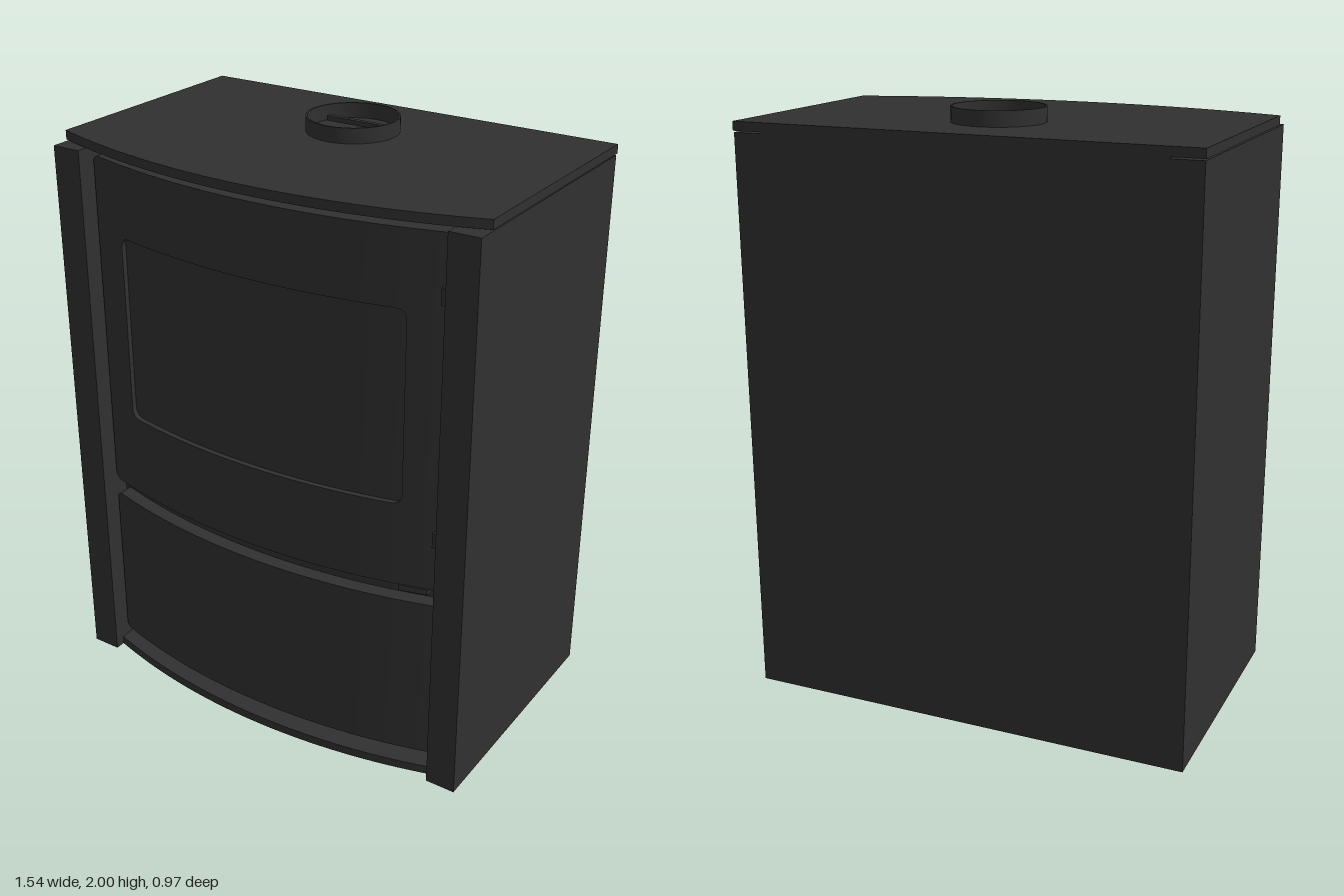
import * as THREE from 'three';
import { toCreasedNormals } from 'three/addons/utils/BufferGeometryUtils.js';

const CZ = -1.783; // shared centre of all the bowed fronts
const bow = (x, front) => CZ + Math.sqrt((front - CZ) ** 2 - x * x);

// Horizontal slab with a bowed front edge
function bowedSlab(halfW, back, front, y0, y1) {
  const s = new THREE.Shape();
  s.moveTo(-halfW, -back);
  for (let i = 0; i <= 40; i++) {
    const x = -halfW + (2 * halfW * i) / 40;
    s.lineTo(x, -bow(x, front));
  }
  s.lineTo(halfW, -back);
  const g = new THREE.ExtrudeGeometry(s, { depth: y1 - y0, bevelEnabled: false });
  g.rotateX(-Math.PI / 2).translate(0, y0, 0);
  return toCreasedNormals(g, 0.5);
}

// How far a rounded corner pulls the edge in at x
function inset(x, halfW, r) {
  const d = Math.max(0, Math.abs(x) - (halfW - r));
  return r - Math.sqrt(Math.max(0, r * r - d * d));
}

// Upright bowed panel made of columns between lo(x) and hi(x)
function bowedPanel(x0, x1, lo, hi, front, back, extra = []) {
  const xs = [...extra];
  const n = Math.max(4, Math.round((x1 - x0) / 0.04));
  for (let i = 0; i <= n; i++) xs.push(x0 + ((x1 - x0) * i) / n);
  xs.sort((a, b) => a - b);
  const pos = [];
  const quad = (a, b, c, d) => pos.push(...a, ...b, ...c, ...a, ...c, ...d);
  const ring = x => {
    const zf = bow(x, front), zb = bow(x, back);
    return [[x, lo(x), zf], [x, hi(x), zf], [x, hi(x), zb], [x, lo(x), zb]];
  };
  const rings = xs.map(ring);
  for (let i = 0; i < rings.length - 1; i++) {
    const a = rings[i], b = rings[i + 1];
    for (let k = 0; k < 4; k++) {
      const m = (k + 1) % 4;
      quad(a[k], b[k], b[m], a[m]);
    }
  }
  const f = rings[0], l = rings[rings.length - 1];
  quad(f[0], f[1], f[2], f[3]);
  quad(l[3], l[2], l[1], l[0]);
  const g = new THREE.BufferGeometry();
  g.setAttribute('position', new THREE.Float32BufferAttribute(pos, 3));
  return toCreasedNormals(g, 0.5);
}

// Extra column positions for rounded corners
const cornerXs = (halfW, r) =>
  [0.2, 0.5, 0.8, 0.95].map(t => halfW - r + r * t).flatMap(x => [x, -x]);

export function createModel() {
  const group = new THREE.Group();
  const steel = new THREE.MeshStandardMaterial({ color: 0x303030 });
  steel.name = 'dark painted steel';
  const add = (name, geo, parent = group) => {
    const m = new THREE.Mesh(geo, steel);
    m.name = name;
    parent.add(m);
    return m;
  };
  const box = (name, x0, x1, y0, y1, z0, z1) =>
    add(name, new THREE.BoxGeometry(x1 - x0, y1 - y0, z1 - z0))
      .position.set((x0 + x1) / 2, (y0 + y1) / 2, (z0 + z1) / 2);

  // Body, side walls and plates
  add('firebox', bowedSlab(0.665, -0.48, 0.4, 0.03, 1.92));
  add('basePlate', bowedSlab(0.665, -0.48, 0.475, 0, 0.03));
  add('topPlate', bowedSlab(0.77, -0.483, 0.483, 1.92, 1.95));
  box('leftSideWall', 0.665, 0.768, 0, 1.915, -0.48, 0.41);
  box('rightSideWall', -0.768, -0.665, 0, 1.915, -0.48, 0.41);

  // Door frame around the window
  const W = 0.657, R = 0.025, w = 0.53, r = 0.03;
  const F = 0.45, B = 0.395;
  const doorLo = x => 0.71 + inset(x, W, R);
  const doorHi = x => 1.89 - inset(x, W, R);
  const winLo = x => 1.0 + inset(x, w, r);
  const winHi = x => 1.645 - inset(x, w, r);
  const door = new THREE.Group();
  door.name = 'door';
  group.add(door);
  const cx = cornerXs(W, R), wx = cornerXs(w, r);
  add('doorLeftStile', bowedPanel(w, W, doorLo, doorHi, F, B, cx.filter(x => x > 0)), door);
  add('doorRightStile', bowedPanel(-W, -w, doorLo, doorHi, F, B, cx.filter(x => x < 0)), door);
  add('doorBottomRail', bowedPanel(-w, w, doorLo, winLo, F, B, wx), door);
  add('doorTopRail', bowedPanel(-w, w, winHi, doorHi, F, B, wx), door);
  add('windowPane', bowedPanel(-w, w, () => 1.0, () => 1.645, 0.432, 0.41), door);

  // Lower drawer front
  add('drawerFront', bowedPanel(-W, W,
    x => 0.07 + inset(x, W, R), x => 0.652 - inset(x, W, R), F, B, cx));

  // Hinges and handle
  for (const y of [0.897, 1.7]) box('hinge', 0.63, 0.651, y - 0.027, y + 0.027, 0.33, 0.368);
  add('doorHandle', bowedPanel(0.53, 0.62, () => 0.692, () => 0.712, 0.455, 0.39));

  // Flue collar with a damper bar
  const collar = [[0.146, 1.95], [0.152, 1.95], [0.152, 2], [0.146, 2], [0.146, 1.95]]
    .map(p => new THREE.Vector2(...p));
  add('flueCollar', toCreasedNormals(new THREE.LatheGeometry(collar, 48), 0.5))
    .position.z = -0.157;
  box('damperBar', -0.132, 0.132, 1.95, 1.965, -0.225, -0.208);

  return group;
}
